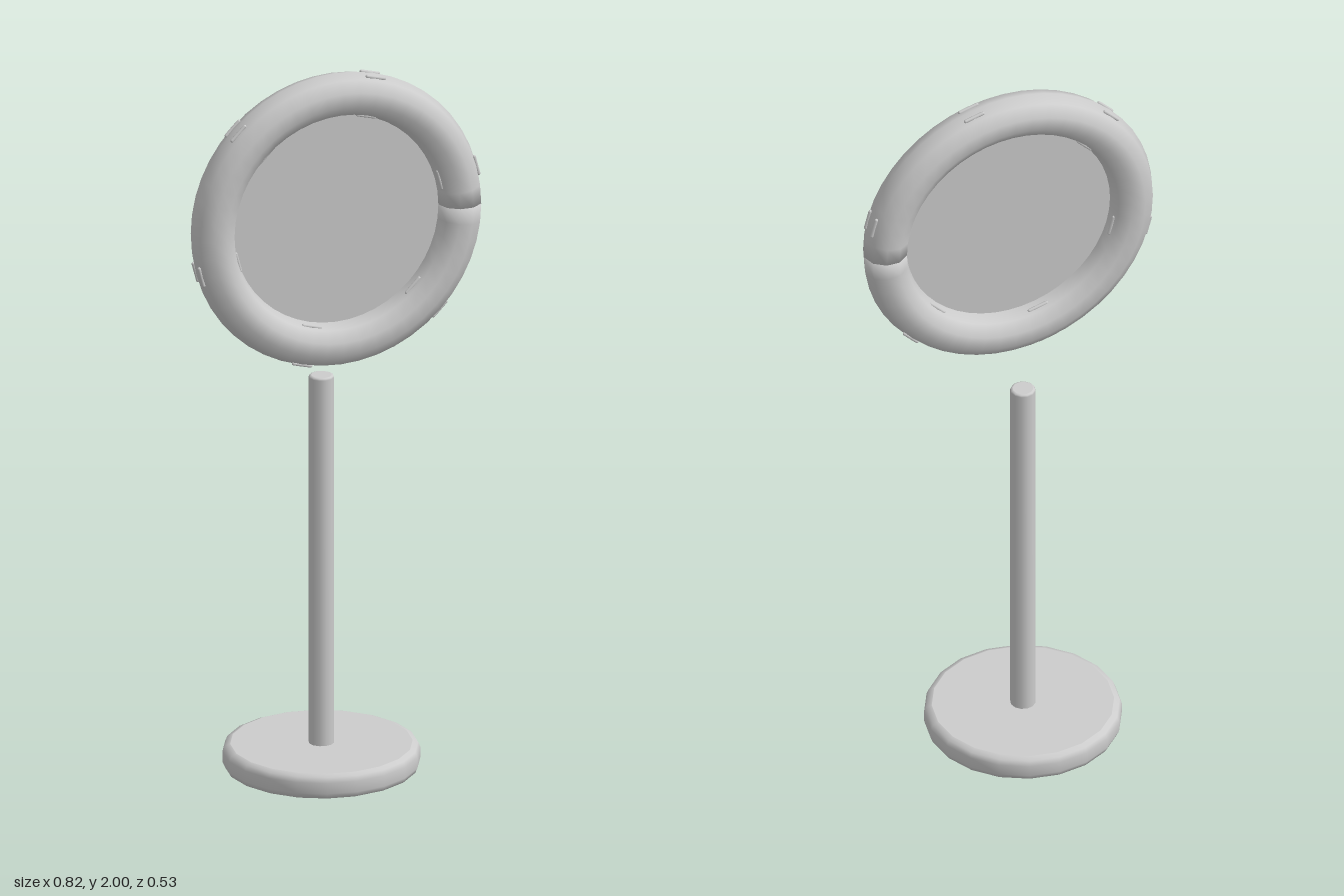
import * as THREE from 'three';

const grey = new THREE.MeshStandardMaterial({ color: 0xcccccc, side: THREE.DoubleSide });
grey.name = 'plain grey';

function part(name, geometry, parent) {
  const mesh = new THREE.Mesh(geometry, grey);
  mesh.name = name;
  parent.add(mesh);
  return mesh;
}

// Round shell, open underneath, with softened upper and lower rims
function shell(radius, bottom, top, bevel, sides) {
  const points = [
    [radius - bevel, bottom],
    [radius - bevel * 0.3, bottom + bevel * 0.3],
    [radius, bottom + bevel],
    [radius, top - bevel],
    [radius - bevel * 0.3, top - bevel * 0.3],
    [radius - bevel, top],
    [radius - bevel - 0.001, top],
    [0, top],
  ].map(([x, y]) => new THREE.Vector2(x, y));
  return new THREE.LatheGeometry(points, sides);
}

export function createModel() {
  const model = new THREE.Group();
  model.name = 'standMirror';

  // Stand
  part('base', shell(0.263, 0, 0.07, 0.02, 20), model);
  part('pole', shell(0.034, 0.058, 1.11, 0.006, 12), model);

  // Round head floating in front of the pole
  const head = new THREE.Group();
  head.name = 'head';
  head.position.set(0, 1.588, 0.105);
  model.add(head);

  const major = 0.352, minor = 0.06, sides = 10, steps = 48;
  const ring = new THREE.TorusGeometry(major, minor, sides, steps);
  // Soften the normals of the two ends where the tube meets itself
  const normal = ring.attributes.normal;
  const n = new THREE.Vector3();
  for (let j = 0; j <= sides; j++) {
    for (const [i, tilt] of [[0, -0.8], [steps, 0.8]]) {
      const k = j * (steps + 1) + i;
      n.fromBufferAttribute(normal, k);
      n.y += tilt;
      n.normalize();
      normal.setXYZ(k, n.x, n.y, n.z);
    }
  }
  part('ring', ring, head);
  part('disc', new THREE.CircleGeometry(0.305, 48), head);

  // Six sets of paired ribs on the outer and inner faces of the ring
  const rib = new THREE.CapsuleGeometry(0.005, 0.05, 3, 8);
  for (let i = 0; i < 6; i++) {
    const ribs = new THREE.Group();
    ribs.name = 'ribs';
    ribs.rotation.z = THREE.MathUtils.degToRad(15 + 60 * i);
    head.add(ribs);
    for (const x of [major + 0.054, major - 0.054]) {
      for (const z of [-0.021, 0.021]) part('rib', rib, ribs).position.set(x, 0, z);
    }
  }
  return model;
}
